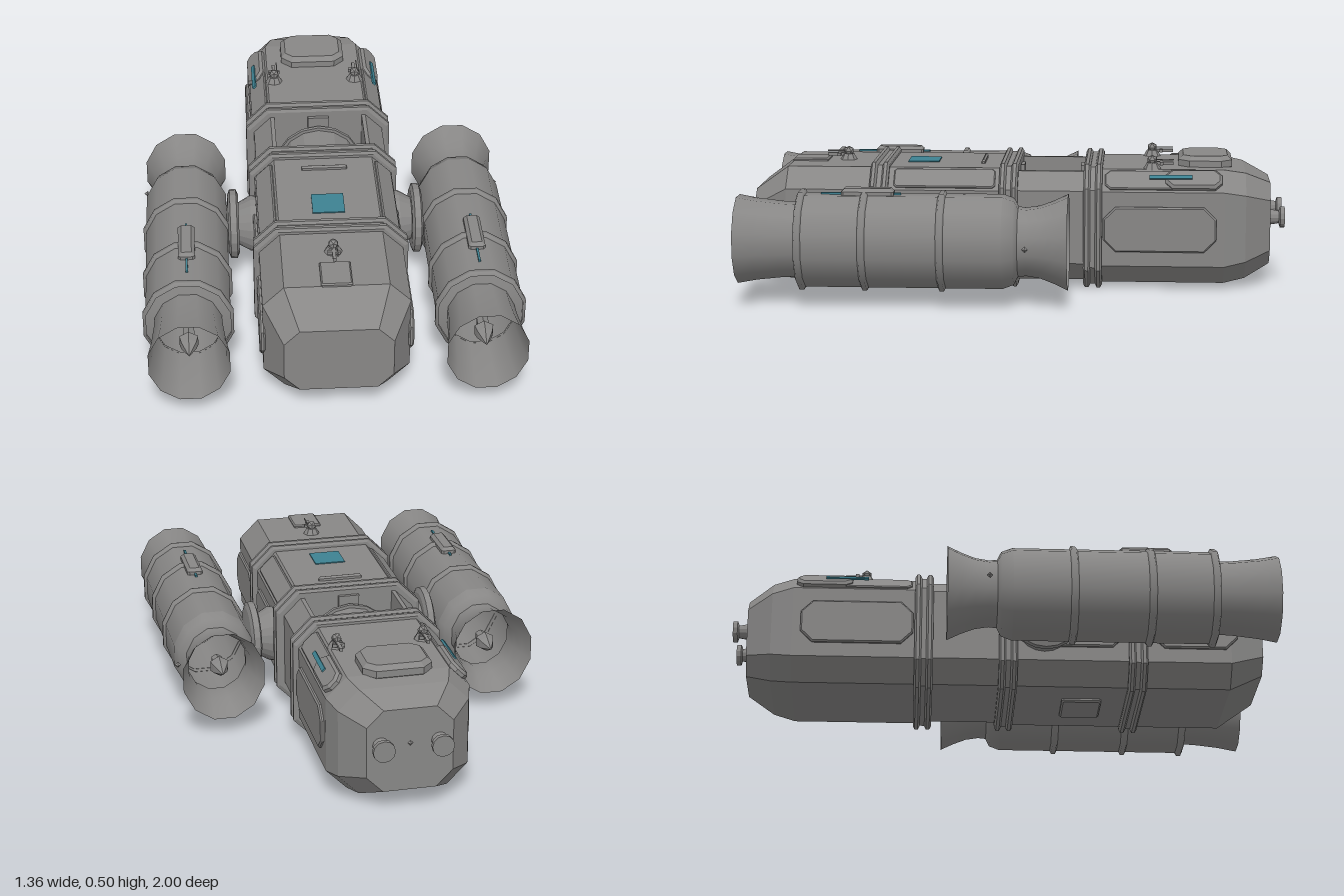
import * as THREE from 'three';

export function createModel() {
  const hull = new THREE.MeshStandardMaterial({ color: 0x888786 });
  hull.name = 'hull grey';
  hull.flatShading = true;
  const shell = new THREE.MeshStandardMaterial({ color: 0x888786, side: THREE.DoubleSide });
  shell.name = 'engine shell grey';
  const blue = new THREE.MeshStandardMaterial({ color: 0x3d8191 });
  blue.name = 'light panel blue';

  const root = new THREE.Group();
  root.name = 'spacecraft';
  const CY = 0.245;

  function add(name, geo, mat = hull, parent = root, x = 0, y = 0, z = 0) {
    const m = new THREE.Mesh(geo, mat);
    m.name = name;
    m.position.set(x, y, z);
    parent.add(m);
    return m;
  }

  // Chamfered rectangle, counter-clockwise seen from the front
  const octagon = (w, y0, y1, c) => [
    [-w + c, y0], [w - c, y0], [w, y0 + c], [w, y1 - c],
    [w - c, y1], [-w + c, y1], [-w, y1 - c], [-w, y0 + c]];

  // Closed loft through sections [z, halfWidth, bottom, top, chamfer], ordered back to front
  function loft(sections) {
    const rings = sections.map(([z, ...s]) => octagon(...s).map(([x, y]) => [x, y, z]));
    const p = [];
    const tri = (...v) => v.forEach(q => p.push(...q));
    for (let k = 0; k < rings.length - 1; k++) {
      const a = rings[k], b = rings[k + 1];
      for (let i = 0; i < 8; i++) {
        const j = (i + 1) % 8;
        tri(a[i], a[j], b[j]);
        tri(a[i], b[j], b[i]);
      }
    }
    const back = rings[0], front = rings[rings.length - 1];
    for (let i = 1; i < 7; i++) {
      tri(front[0], front[i], front[i + 1]);
      tri(back[0], back[i + 1], back[i]);
    }
    const g = new THREE.BufferGeometry();
    g.setAttribute('position', new THREE.Float32BufferAttribute(p, 3));
    g.computeVertexNormals();
    return g;
  }

  // Flat plate with clipped corners, width w, length l along z, rising t from its base
  function plate(w, l, t, c) {
    const pts = octagon(w / 2, -l / 2, l / 2, c).map(([x, y]) => new THREE.Vector2(x, y));
    const b = t * 0.4;
    const g = new THREE.ExtrudeGeometry(new THREE.Shape(pts), {
      depth: t - b, bevelEnabled: true, bevelThickness: b, bevelSize: b, bevelOffset: -b, bevelSegments: 1 });
    return g.rotateX(-Math.PI / 2);
  }

  // Hull sections
  add('frontModule', loft([
    [0.52, 0.26, 0.03, 0.46, 0.075], [0.87, 0.26, 0.03, 0.46, 0.075], [1.0, 0.192, 0.11, 0.365, 0.055]]));
  add('middleModule', loft([[0.03, 0.26, 0.03, 0.46, 0.075], [0.52, 0.26, 0.03, 0.46, 0.075]]));
  add('rearModule', loft([
    [-0.945, 0.155, 0.09, 0.40, 0.06], [-0.85, 0.235, 0.045, 0.445, 0.075],
    [-0.77, 0.26, 0.03, 0.46, 0.075], [-0.28, 0.26, 0.03, 0.46, 0.075]]));

  // Joint collars
  for (const z of [0.52, 0.035, -0.28]) {
    add('jointCore', loft([[z - 0.035, 0.267, 0.022, 0.468, 0.077], [z + 0.035, 0.267, 0.022, 0.468, 0.077]]));
    for (const d of [-0.022, 0.022])
      add('jointRing', loft([
        [z + d - 0.013, 0.268, 0.02, 0.47, 0.077], [z + d - 0.006, 0.28, 0.01, 0.48, 0.08],
        [z + d + 0.006, 0.28, 0.01, 0.48, 0.08], [z + d + 0.013, 0.268, 0.02, 0.47, 0.077]]));
  }

  // Open bay with a drum
  const u = new THREE.Shape([
    [-0.175, 0.035], [0.175, 0.035], [0.25, 0.11], [0.25, 0.385], [0.185, 0.45], [0.17, 0.45],
    [0.17, 0.06], [-0.17, 0.06], [-0.17, 0.45], [-0.185, 0.45], [-0.25, 0.385], [-0.25, 0.11]
  ].map(a => new THREE.Vector2(...a)));
  add('bayFrame', new THREE.ExtrudeGeometry(u, { depth: 0.26, bevelEnabled: false }), hull, root, 0, 0, -0.25);
  const disc = (r0, r1, l, n = 16) => new THREE.CylinderGeometry(r0, r1, l, n).rotateX(Math.PI / 2);
  add('drum', disc(0.155, 0.155, 0.18), hull, root, 0, CY + 0.01, -0.12);
  for (const z of [-0.21, -0.03]) add('drumRim', disc(0.167, 0.167, 0.015), hull, root, 0, CY + 0.01, z);
  add('drumAxle', disc(0.03, 0.03, 0.25, 8), hull, root, 0, CY + 0.01, -0.12);
  for (const z of [-0.237, -0.008])
    add('drumBracket', new THREE.BoxGeometry(0.08, 0.2, 0.014), hull, root, 0, 0.35, z);

  // Small turret with a thin rod
  function turret(x, y, z, dir) {
    const g = new THREE.Group();
    g.name = 'sensorTurret';
    g.position.set(x, y, z);
    root.add(g);
    add('turretBase', new THREE.CylinderGeometry(0.02, 0.034, 0.025, 8), hull, g, 0, 0.01, 0);
    add('turretHead', new THREE.IcosahedronGeometry(0.02, 0), hull, g, 0, 0.032, 0);
    add('turretArm', new THREE.BoxGeometry(0.012, 0.012, 0.08), hull, g, 0, 0.02, dir * 0.04);
    add('turretCrossbar', new THREE.BoxGeometry(0.045, 0.012, 0.012), hull, g, 0, 0.02, dir * 0.035);
    add('turretRod', new THREE.BoxGeometry(0.004, 0.004, 0.08), hull, g, 0.012, 0.035, dir * 0.04);
  }
  turret(0, 0.46, 0.665, 1);
  for (const s of [1, -1]) turret(s * 0.16, 0.46, -0.5, -1);

  // Top and bottom fittings
  add('rearHatch', plate(0.25, 0.2, 0.042, 0.04), hull, root, 0, 0.458, -0.7);
  add('frontHatch', plate(0.11, 0.135, 0.012, 0.004), hull, root, 0, 0.458, 0.805);
  add('topBar', plate(0.17, 0.014, 0.018, 0.003), hull, root, 0, 0.458, 0.14);
  add('bluePanel', new THREE.BoxGeometry(0.118, 0.006, 0.118), blue, root, 0, 0.461, 0.37);
  add('bellyHatch', plate(0.16, 0.15, 0.015, 0.008), hull, root, 0, 0.032, 0.32).rotation.z = Math.PI;
  add('rearLamp', new THREE.OctahedronGeometry(0.01), hull, root, 0, 0.27, -0.947);

  for (const s of [1, -1]) {
    // Panels on the flat sides: [centre z, height, length, corner clip]
    for (const [z, h, l, c] of [[-0.53, 0.17, 0.42, 0.045], [0.275, 0.17, 0.36, 0.03], [0.735, 0.17, 0.32, 0.045]])
      add('sidePanel', plate(h, l, 0.014, c), hull, root, s * 0.258, CY, z).rotation.z = -s * Math.PI / 2;

    // Panels on the slanted upper corners
    const slant = new THREE.Group();
    slant.name = 'slantedPanels';
    slant.position.set(s * 0.2215, 0.4215, 0);
    slant.rotation.z = -s * Math.PI / 4;
    root.add(slant);
    add('rearLowPlate', plate(0.085, 0.43, 0.01, 0.02), hull, slant, 0, 0, -0.54);
    add('rearRaisedPlate', plate(0.085, 0.21, 0.024, 0.025), hull, slant, 0, 0, -0.655);
    add('rearBlueStrip', new THREE.BoxGeometry(0.016, 0.008, 0.16), blue, slant, 0, 0.025, -0.57);
    add('middlePlate', plate(0.085, 0.38, 0.01, 0.01), hull, slant, 0, 0, 0.275);

    // Rear docking nozzles
    const nozzle = new THREE.LatheGeometry(
      [[0, 0], [0.03, 0], [0.024, 0.035], [0.04, 0.04], [0.04, 0.057], [0, 0.057]]
        .map(a => new THREE.Vector2(...a)), 12).rotateX(-Math.PI / 2);
    add('rearNozzle', nozzle, hull, root, s * 0.105, 0.27, -0.943);

    // Pylon hub and disc
    const pylon = new THREE.LatheGeometry(
      [[0, 0.25], [0.105, 0.25], [0.105, 0.28], [0.08, 0.325], [0.11, 0.325], [0.13, 0.333],
        [0.13, 0.357], [0.11, 0.365], [0, 0.375]].map(a => new THREE.Vector2(...a)), 20)
      .rotateZ(-s * Math.PI / 2);
    add('enginePylon', pylon, hull, root, 0, CY, 0.17);

    // Engine pod: hollow, slightly narrower than tall
    const engine = new THREE.Group();
    engine.name = 'enginePod';
    engine.position.set(s * 0.52, CY, 0);
    root.add(engine);
    const lathe = pts => new THREE.LatheGeometry(pts.map(a => new THREE.Vector2(...a)), 12, Math.PI / 12)
      .rotateX(Math.PI / 2).scale(0.9, 1, 1);
    const parts = {
      rearBell: [[0.176, -0.2], [0.152, -0.15], [0.133, -0.1], [0.125, -0.05], [0.128, -0.02]],
      podShoulder: [[0.128, -0.02], [0.158, -0.005], [0.173, 0.035]],
      podBody: [[0.173, 0.035], [0.173, 0.77]],
      podFrontLip: [[0.173, 0.77], [0.136, 0.78]],
      frontBell: [[0.136, 0.77], [0.14, 0.84], [0.15, 0.93], [0.163, 1.0]]
    };
    for (const [name, pts] of Object.entries(parts)) add(name, lathe(pts), shell, engine);
    for (const z of [0.255, 0.535, 0.765])
      add('podRing', lathe([[0.172, z - 0.014], [0.185, z - 0.008], [0.185, z + 0.008], [0.172, z + 0.014]]), shell, engine);

    // Spikes inside both bells
    for (const [z, d] of [[0.86, 1], [-0.08, -1]]) {
      const spike = new THREE.LatheGeometry(
        [[0, -0.06], [0.022, -0.05], [0.024, 0], [0.038, 0.01], [0.03, 0.04], [0, 0.1]]
          .map(a => new THREE.Vector2(...a)), 6).rotateX(d * Math.PI / 2);
      add('engineSpike', spike, hull, engine, 0, 0, z);
    }

    // Top clamp, blue line and outboard lamp
    add('podClamp', plate(0.06, 0.19, 0.03, 0.008), hull, engine, 0, 0.162, 0.525);
    add('podBlueLine', new THREE.BoxGeometry(0.008, 0.008, 0.29), blue, engine, 0, 0.17, 0.55);
    add('podLamp', new THREE.OctahedronGeometry(0.012), hull, engine, s * 0.15, 0, -0.05);
  }
  return root;
}
